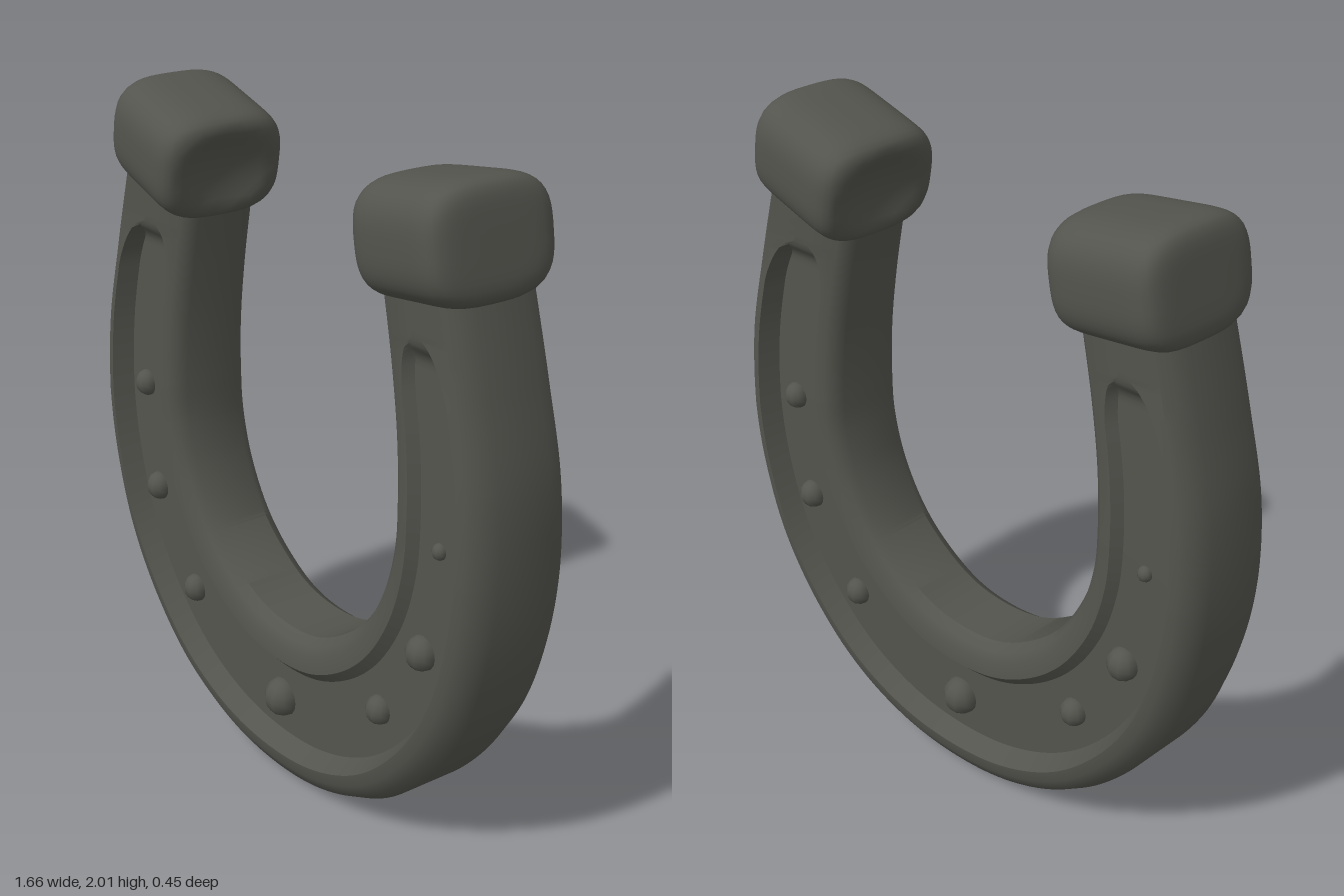
import * as THREE from 'three';
import { mergeVertices, toCreasedNormals } from 'three/addons/utils/BufferGeometryUtils.js';

const HALF = 0.161;   // half thickness at the outer rim
const RIM = 0.81;     // inner rim height, relative to the outer rim
const FLOOR = 0.64;   // groove floor height, relative to the outer rim
const SLANT = -0.033; // slight skew of the shoe, z per x

// Matching points on the outer and inner edges, from the toe up one arm: [xOut, yOut, xIn, yIn]
const EDGE = [
  [0, 0.0, 0, 0.51], [0.22, 0.03, 0.13, 0.53], [0.43, 0.13, 0.25, 0.6], [0.6, 0.3, 0.35, 0.7],
  [0.73, 0.52, 0.43, 0.85], [0.8, 0.77, 0.468, 1.0], [0.823, 1.0, 0.473, 1.12],
  [0.808, 1.25, 0.46, 1.3], [0.75, 1.5, 0.428, 1.5], [0.66, 1.83, 0.37, 1.77],
];

function edgeCurve(k) {
  const right = EDGE.map((e) => new THREE.Vector3(e[k], e[k + 1], 0));
  const left = right.slice(1).reverse().map((p) => new THREE.Vector3(-p.x, p.y, 0));
  return new THREE.CatmullRomCurve3([...left, ...right]);
}

// Cross-section as [t across the band from outer to inner, z]; the groove closes as k goes to 1
function section(k, h) {
  const w = 0.25 + 0.75 * Math.sqrt(1 - k * k);
  const depth = THREE.MathUtils.smoothstep(1 - k, 0, 0.35);
  const g = (t) => 0.52 + (t - 0.52) * w;
  const top = (t) => h * THREE.MathUtils.mapLinear(t, 0.2, 0.8, 1, RIM);
  const rim = (t) => [g(t), top(g(t))];
  const floor = (t) => [g(t), THREE.MathUtils.lerp(top(g(t)), FLOOR * h, depth)];
  const front = [
    [0, 0.52 * h], [0.05, 0.83 * h], [0.13, 0.97 * h], rim(0.2),
    floor(0.27), floor(0.74), rim(0.8),
    [0.9, 0.785 * h], [0.96, 0.69 * h], [1, 0.52 * h],
  ];
  return [...front, ...front.map(([t, z]) => [t, -z]).reverse()];
}

// Lofts the grooved band around the U
function shoeGeometry() {
  const outer = edgeCurve(0), inner = edgeCurve(2);
  const steps = 288, half = EDGE.length - 1;
  const pos = [], index = [];
  let n = 0;
  for (let i = 0; i <= steps; i++) {
    const u = i / steps;
    const row = Math.abs(u * 2 - 1) * half;
    const k = THREE.MathUtils.clamp((row - 7.75) / 0.6, 0, 1);
    const h = HALF - 0.0065 * Math.max(0, row - 6);
    const o = outer.getPoint(u), p = inner.getPoint(u);
    const ring = section(k, h);
    n = ring.length;
    for (const [t, z] of ring) {
      const x = THREE.MathUtils.lerp(o.x, p.x, t), y = THREE.MathUtils.lerp(o.y, p.y, t);
      pos.push(x - 0.08 * z, y, z + SLANT * x);
    }
  }
  for (let i = 0; i < steps; i++) {
    for (let j = 0; j < n; j++) {
      const a = i * n + j, d = i * n + (j + 1) % n;
      index.push(a, a + n, d, a + n, d + n, d);
    }
  }
  const geo = new THREE.BufferGeometry();
  geo.setAttribute('position', new THREE.Float32BufferAttribute(pos, 3));
  geo.setIndex(index);
  return toCreasedNormals(geo, 0.6);
}

// Soft block, rounder around its length, with a shallow dish on the face that looks inward
function capGeometry(inward) {
  const geo = new THREE.BoxGeometry(2, 2, 2, 14, 14, 14);
  geo.deleteAttribute('uv');
  geo.deleteAttribute('normal');
  const p = geo.attributes.position, v = new THREE.Vector3();
  for (let i = 0; i < p.count; i++) {
    v.fromBufferAttribute(p, i);
    const onInner = v.x * inward > 0.99;
    const r2 = (v.y * v.y + v.z * v.z) / 0.6;
    const around = Math.abs(v.y) ** 3.1 + Math.abs(v.z) ** 3.1;
    v.divideScalar((Math.abs(v.x) ** 7 + around ** (7 / 3.1)) ** (1 / 7));
    if (onInner && r2 < 1) v.x -= inward * 0.16 * (1 - r2);
    p.setXYZ(i, v.x * 0.185, v.y * 0.154, v.z * 0.19);
  }
  const merged = mergeVertices(geo);
  merged.computeVertexNormals();
  return merged;
}

export function createModel() {
  const iron = new THREE.MeshStandardMaterial({ color: 0x54544e });
  iron.name = 'dark iron';
  const model = new THREE.Group();
  model.name = 'horseshoe';

  const add = (name, geo, parent = model) => {
    const mesh = new THREE.Mesh(geo, iron);
    mesh.name = name;
    parent.add(mesh);
    return mesh;
  };

  add('shoe', shoeGeometry());

  // End blocks on both arms
  for (const side of [-1, 1]) {
    const cap = add(side > 0 ? 'leftEndBlock' : 'rightEndBlock', capGeometry(-side));
    cap.position.set(side * 0.51 + 0.005, 1.832, -0.022 * side);
    cap.rotation.set(0, -0.11, side * 0.2, 'YXZ');
  }

  // Nail heads; the back repeats the front turned half round
  const nails = [
    [-0.66, 1.07, 0.038], [-0.62, 0.73, 0.042], [-0.44, 0.44, 0.042], [-0.01, 0.26, 0.058],
    [0.42, 0.45, 0.042], [0.58, 0.72, 0.048], [0.63, 1.05, 0.022],
  ];
  const head = new THREE.SphereGeometry(1, 10, 8);
  for (const face of ['front', 'back']) {
    const group = new THREE.Group();
    group.name = face + 'Nails';
    if (face === 'back') group.rotation.y = Math.PI;
    for (const [x, y, r] of nails) {
      const nail = add('nailHead', head, group);
      nail.position.set(x, y, FLOOR * HALF + SLANT * x);
      nail.scale.set(r, r * 1.08, r);
    }
    model.add(group);
  }
  return model;
}
